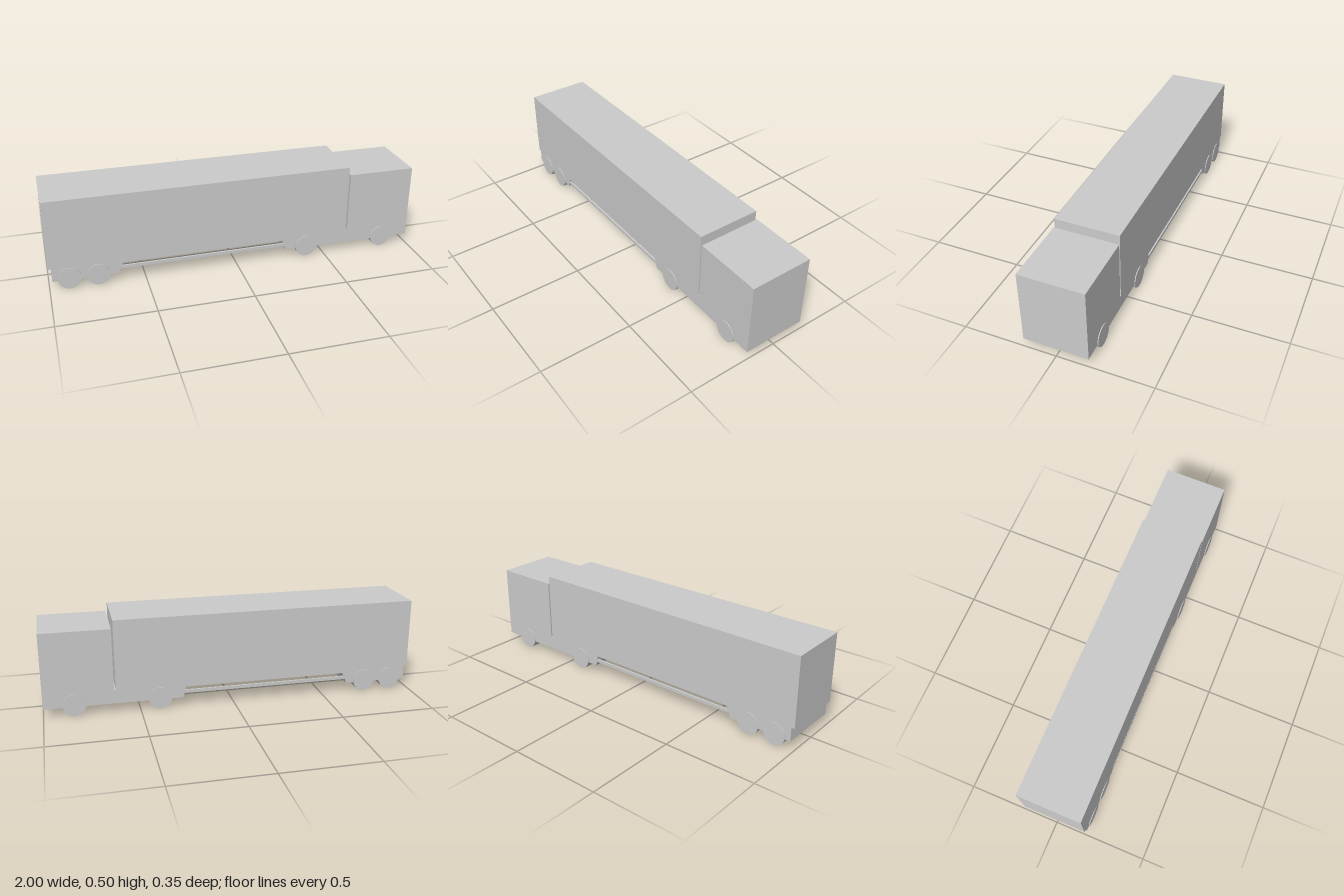
import * as THREE from 'three';

const HALF_WIDTH = 0.171;

export function createModel() {
  const truck = new THREE.Group();
  truck.name = 'truck';
  const grey = new THREE.MeshStandardMaterial({ color: 0xcccccc });

  const add = (name, geometry) => {
    const mesh = new THREE.Mesh(geometry, grey);
    mesh.name = name;
    truck.add(mesh);
    return mesh;
  };
  // Box given by its limits on each axis
  const addBox = (name, [x0, x1], [y0, y1], [z0, z1]) =>
    add(name, new THREE.BoxGeometry(x1 - x0, y1 - y0, z1 - z0))
      .position.set((x0 + x1) / 2, (y0 + y1) / 2, (z0 + z1) / 2);

  const fullWidth = [-HALF_WIDTH, HALF_WIDTH];
  addBox('cargoBox', [-1, 0.627], [0.125, 0.5], fullWidth);
  addBox('cab', [0.636, 1], [0.05, 0.455], fullWidth);

  // Chassis side profile: low at both axle groups, raised with curved ends between them
  const profile = new THREE.Shape();
  profile.moveTo(-0.983, 0.05);
  profile.lineTo(-0.642, 0.05);
  profile.quadraticCurveTo(-0.631, 0.085, -0.616, 0.11);
  profile.lineTo(0.26, 0.11);
  profile.quadraticCurveTo(0.262, 0.075, 0.276, 0.05);
  profile.lineTo(0.636, 0.05);
  profile.lineTo(0.636, 0.125);
  profile.lineTo(-0.983, 0.125);
  profile.closePath();
  const chassis = new THREE.ExtrudeGeometry(profile, {
    depth: 2 * HALF_WIDTH, bevelEnabled: false, curveSegments: 8,
  });
  chassis.translate(0, 0, -HALF_WIDTH);
  add('chassis', chassis);

  // Side guard rails and wheels, mirrored across the centre line
  const wheelGeometry = new THREE.CylinderGeometry(0.06, 0.06, 0.055, 48);
  wheelGeometry.rotateX(Math.PI / 2);
  for (const side of [-1, 1]) {
    const edges = [side * HALF_WIDTH, side * (HALF_WIDTH - 0.01)].sort((a, b) => a - b);
    addBox('sideRail', [-0.632, 0.268], [0.074, 0.091], edges);
    for (const x of [-0.895, -0.745, 0.395, 0.842]) {
      add('wheel', wheelGeometry).position.set(x, 0.06, side * 0.1475);
    }
  }
  return truck;
}
